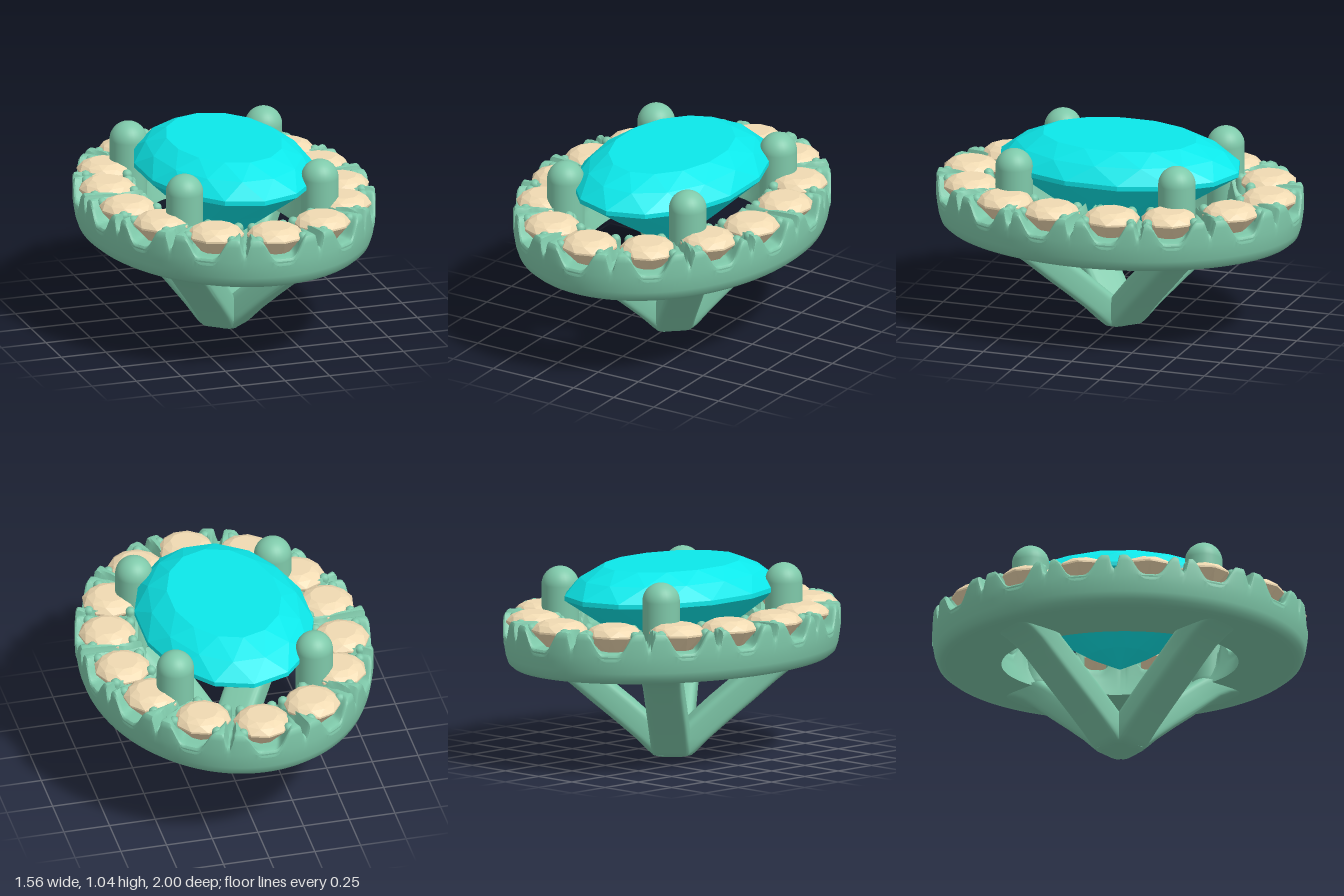
import * as THREE from 'three';
import { toCreasedNormals } from 'three/addons/utils/BufferGeometryUtils.js';

const metal = new THREE.MeshStandardMaterial({ color: 0x7fc9aa });
const aqua = new THREE.MeshStandardMaterial({ color: 0x0ce8ea, flatShading: true });
const cream = new THREE.MeshStandardMaterial({ color: 0xf0dab2, flatShading: true });

const mesh = (name, geometry, material, parent) => {
  const m = new THREE.Mesh(geometry, material);
  m.name = name;
  parent.add(m);
  return m;
};
const geometryFrom = (positions, index) => {
  const g = new THREE.BufferGeometry();
  g.setAttribute('position', new THREE.Float32BufferAttribute(positions, 3));
  g.setIndex(index);
  g.computeVertexNormals();
  return g;
};

// Skin of closed loops: point(row, k) gives [x, y, z]; loops run around k
function skin(rows, around, point) {
  const pos = [], idx = [];
  for (let j = 0; j < rows; j++)
    for (let k = 0; k < around; k++) pos.push(...point(j, k / around * Math.PI * 2));
  for (let j = 0; j < rows - 1; j++)
    for (let k = 0; k < around; k++) {
      const n = (k + 1) % around;
      const a = j * around + k, b = j * around + n, c = a + around, d = b + around;
      idx.push(a, b, d, a, d, c);
    }
  return toCreasedNormals(geometryFrom(pos, idx), 0.7);
}

// Faceted stone: rings of [scale, y, turn added in facet steps], top to bottom
function cutStone(rx, rz, n, rings) {
  const pos = [], idx = [];
  let turn = 0;
  for (const [s, y, t] of rings) {
    turn += t;
    for (let k = 0; k < n; k++) {
      const a = (k + turn) / n * Math.PI * 2;
      pos.push(rx * s * Math.sin(a), y, rz * s * Math.cos(a));
    }
  }
  for (let j = 0; j < rings.length - 1; j++)
    for (let k = 0; k < n; k++) {
      const m = (k + 1) % n, u = j * n, l = u + n;
      idx.push(u + k, l + k, u + m, u + m, l + k, l + m);
    }
  return geometryFrom(pos, idx);
}

// Fourteen side stones on an oval, each with its outward and tangent direction
const RX = 0.61, RZ = 0.84;
const seats = [];
for (const deg of [0, 29.4, 56.5, 78.4, 101.6, 123.5, 150.6, 180, 209.4, 236.5, 258.4, 281.6, 303.5, 330.6]) {
  const a = THREE.MathUtils.degToRad(deg);
  const n = new THREE.Vector2(Math.sin(a) / RX, Math.cos(a) / RZ).normalize();
  seats.push({ x: RX * Math.sin(a), z: RZ * Math.cos(a), nx: n.x, nz: n.y });
}

// Height of the halo's top: scalloped at each stone, notched between stones
function topHeight(x, z) {
  const d = seats.map((s) => {
    const dx = x - s.x, dz = z - s.z;
    return Math.hypot(dx * s.nz - dz * s.nx, 0.45 * (dx * s.nx + dz * s.nz));
  }).sort((p, q) => p - q);
  const wall = THREE.MathUtils.smoothstep(d[0], 0.075, 0.145);
  const notch = 1 - THREE.MathUtils.smoothstep((d[1] - d[0]) / 2, 0.006, 0.028);
  return 0.685 + 0.11 * wall - 0.08 * notch * wall;
}

function haloGeometry() {
  // [position from inner (0) to outer (1) oval, fixed y or null for the top, drop below the top]
  const profile = [
    [-0.12, 0.515], [0.3, 0.515], [0.76, 0.515], [0.85, 0.52], [0.92, 0.54], [0.96, 0.58],
    [0.985, 0.63], [1, 0.67], [1, null, 0.04], [0.995, null, 0.018], [0.97, null, 0.004],
  ];
  for (let i = 0; i <= 12; i++) profile.push([0.93 - i * 0.072, null, 0]);
  profile.push([0.03, null, 0.004], [0.005, null, 0.018], [0, null, 0.04],
    [-0.02, 0.62], [-0.1, 0.54], [-0.12, 0.515]);
  return skin(profile.length, 448, (j, a) => {
    const [t, y, drop] = profile[j];
    const x = (0.44 + 0.34 * t) * Math.sin(a), z = (0.67 + 0.33 * t) * Math.cos(a);
    return [x, y ?? topHeight(x, z) - drop, z];
  });
}

// Leg: rounded rectangular sections leaning outward, flaring under the halo
function legGeometry(dirX, dirZ) {
  const rows = [ // y, inner reach, outer reach, half width
    [0, 0, 0, 0], [0, -0.08, 0.08, 0.08], [0.008, -0.1, 0.105, 0.098], [0.03, -0.1, 0.13, 0.105],
    [0.1, -0.02, 0.2, 0.105], [0.2, 0.09, 0.315, 0.105], [0.3, 0.2, 0.435, 0.105],
    [0.4, 0.32, 0.55, 0.105], [0.46, 0.39, 0.625, 0.105], [0.5, 0.44, 0.7, 0.108], [0.53, 0.47, 0.79, 0.11],
  ];
  const soft = (v) => Math.sign(v) * Math.abs(v) ** 0.4;
  return skin(rows.length, 40, (j, a) => {
    const [y, r0, r1, w] = rows[j];
    const r = (r0 + r1) / 2 + (r1 - r0) / 2 * soft(Math.cos(a)), t = w * soft(Math.sin(a));
    return [dirX * r + dirZ * t, y, dirZ * r - dirX * t];
  });
}

export function createModel() {
  const model = new THREE.Group();
  model.name = 'jewelSetting';
  mesh('halo', haloGeometry(), metal, model);

  // Large oval centre stone
  mesh('centreStone', cutStone(0.465, 0.67, 14, [
    [0, 1.04, 0], [0.64, 1.04, 0], [0.85, 0.98, 0.5], [1, 0.9, 0.5], [1, 0.875, 0],
    [0.62, 0.715, 0.5], [0.24, 0.555, 0.5], [0, 0.475, 0.5],
  ]), aqua, model);

  // Side stones with four small claws each
  const stone = cutStone(0.152, 0.152, 10, [
    [0, 0.82, 0], [0.55, 0.82, 0], [0.82, 0.803, 0.5], [1, 0.775, 0.5], [1, 0.765, 0],
    [0.5, 0.68, 0.5], [0, 0.61, 0.5],
  ]);
  const claw = new THREE.CapsuleGeometry(0.028, 0.1, 5, 10);
  for (const s of seats) {
    const m = mesh('sideStone', stone, cream, model);
    m.position.set(s.x, 0, s.z);
    m.rotation.y = Math.atan2(s.nx, s.nz);
    for (const [t, n] of [[0.125, 0.09], [-0.125, 0.09], [0.085, -0.128], [-0.085, -0.128]])
      mesh('claw', claw, metal, model)
        .position.set(s.x + s.nz * t + s.nx * n, 0.723, s.z - s.nx * t + s.nz * n);
  }

  // Four legs meeting at the foot, each under a round-headed prong
  const prong = new THREE.CapsuleGeometry(0.1, 0.36, 12, 28);
  for (const sx of [1, -1])
    for (const sz of [1, -1]) {
      mesh('leg', legGeometry(0.64 * sx, 0.768 * sz), metal, model);
      mesh('prong', prong, metal, model).position.set(0.38 * sx, 0.745, 0.46 * sz);
    }
  return model;
}
